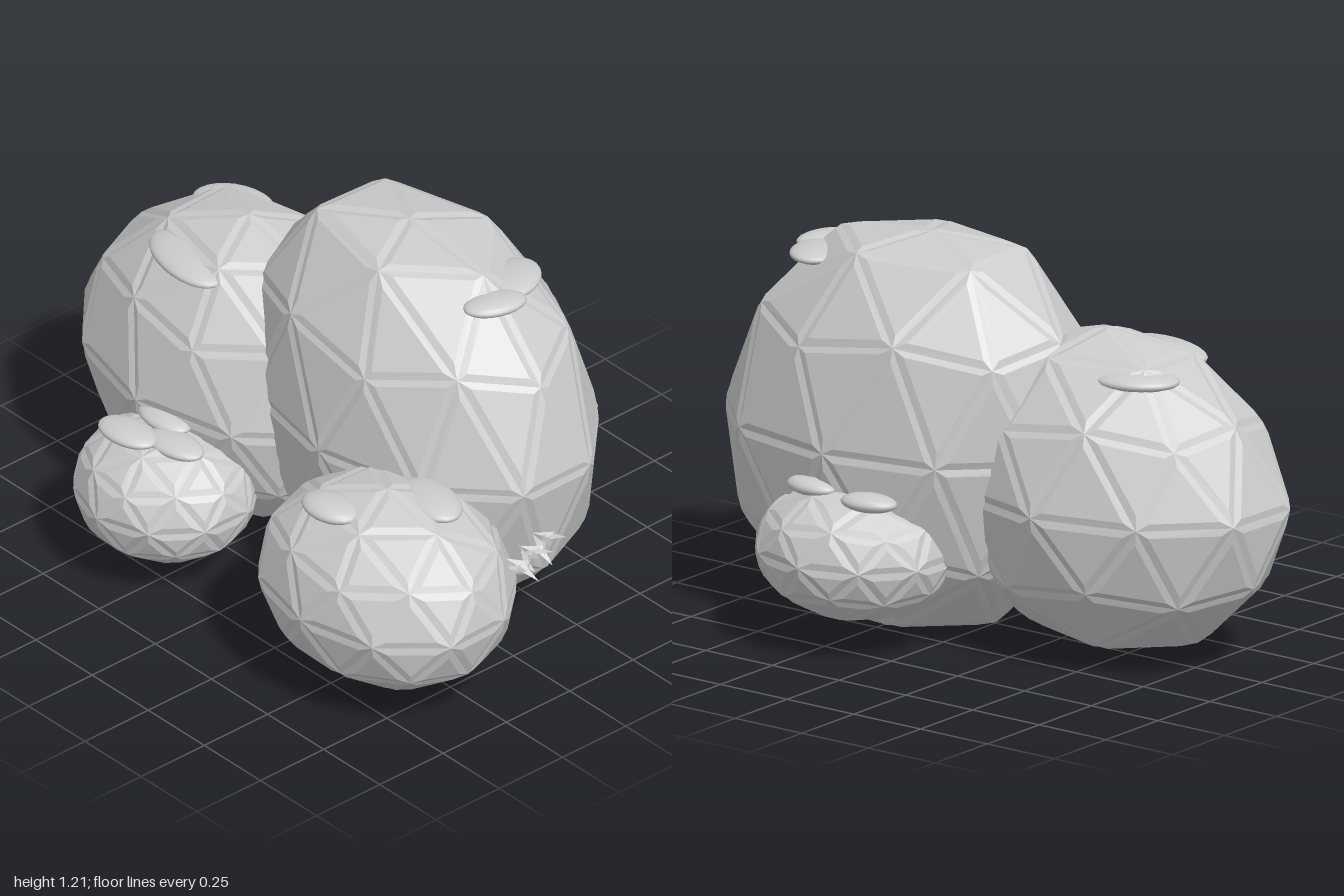
import * as THREE from 'three';

const stone = new THREE.MeshStandardMaterial({ color: 0xcccccc, flatShading: true });
const soft = new THREE.MeshStandardMaterial({ color: 0xcccccc });
const leaf = new THREE.MeshStandardMaterial({ color: 0xcccccc, side: THREE.DoubleSide });

// Faceted boulder of flat plates joined by bevelled bands, fitted to the box min..max.
// cap flattens the top and bottom, taper narrows the top, lean shifts the top along x.
function boulderGeometry({ min, max, seed, cap, taper, lean, band }) {
  const lo = new THREE.Vector3(...min), hi = new THREE.Vector3(...max);
  const size = hi.clone().sub(lo), radii = size.clone().multiplyScalar(0.5);
  const ball = new THREE.IcosahedronGeometry(1, 1);
  ball.rotateZ(-Math.atan(2 / (1 + Math.sqrt(5)))); // one corner points straight up
  const pos = ball.attributes.position;
  const corner = (i) => {
    const p = new THREE.Vector3().fromBufferAttribute(pos, i);
    const bump = 1 + 0.012 * Math.sin(4 * p.x + 3 * p.z + seed);
    p.y = THREE.MathUtils.clamp(p.y, -cap, cap) / cap;
    const rise = Math.max(0, p.y);
    p.x *= 1 - taper * rise;
    p.z *= 1 - taper * rise;
    p.multiplyScalar(bump).multiply(radii);
    p.x += lean * rise;
    return p;
  };
  const verts = [];
  const tri = (...corners) => corners.forEach((p) => verts.push(p.x, p.y, p.z));
  for (let i = 0; i < pos.count; i += 3) {
    const outer = [corner(i), corner(i + 1), corner(i + 2)];
    const [a, b, c] = outer;
    const la = b.distanceTo(c), lb = c.distanceTo(a), lc = a.distanceTo(b), sum = la + lb + lc;
    const centre = new THREE.Vector3().addScaledVector(a, la / sum).addScaledVector(b, lb / sum).addScaledVector(c, lc / sum);
    const inradius = (2 * new THREE.Triangle(a, b, c).getArea()) / sum;
    const plate = outer.map((p) => p.clone().lerp(centre, Math.min(0.5, band / inradius)));
    const sunk = outer.map((p) => p.clone().setLength(p.length() - band * 0.38));
    tri(...plate);
    for (let k = 0; k < 3; k++) {
      const n = (k + 1) % 3;
      tri(sunk[k], sunk[n], plate[n]);
      tri(sunk[k], plate[n], plate[k]);
    }
  }
  const geo = new THREE.BufferGeometry();
  geo.setAttribute('position', new THREE.Float32BufferAttribute(verts, 3));
  geo.computeBoundingBox();
  const box = geo.boundingBox.clone(), span = box.getSize(new THREE.Vector3());
  geo.translate(-box.min.x, -box.min.y, -box.min.z);
  geo.scale(size.x / span.x, size.y / span.y, size.z / span.z);
  geo.translate(lo.x, lo.y, lo.z);
  geo.computeVertexNormals();
  return geo;
}

// Small tuft of pointed leaves along a short stem
function tuftGeometry() {
  const start = new THREE.Vector3(0.83, 0.435, -0.08), end = new THREE.Vector3(0.9, 0.435, 0.12);
  const verts = [];
  const count = 20;
  for (let i = 0; i < count; i++) {
    const p = start.clone().lerp(end, i / (count - 1));
    const side = i % 2 ? 1 : -1, turn = i * 2.4;
    const droop = i % 5 === 2 ? -0.05 : 0.015 * Math.sin(turn);
    verts.push(p.x, p.y + 0.006, p.z - 0.012, p.x, p.y - 0.006, p.z + 0.012);
    verts.push(p.x + side * 0.045, p.y + droop, p.z + 0.035 * Math.cos(turn));
  }
  const geo = new THREE.BufferGeometry();
  geo.setAttribute('position', new THREE.Float32BufferAttribute(verts, 3));
  geo.computeVertexNormals();
  return geo;
}

// Boulders: box corners and shape, with moss pads as [centre, radii, turn]
const boulders = [
  { name: 'tallBoulder', min: [-0.37, 0, -0.54], max: [0.82, 1.21, 0.31], seed: 1, cap: 0.9, taper: 0, lean: -0.07, band: 0.022,
    moss: [[[0.49, 1.11, -0.23], [0.08, 0.025, 0.11], 0.5], [[0.555, 1.11, -0.1], [0.06, 0.025, 0.1], -0.3]] },
  { name: 'leftBoulder', min: [-1, 0.01, -0.41], max: [0.1, 0.99, 0.43], seed: 4, cap: 1, taper: 0.1, lean: 0.03, band: 0.022,
    moss: [[[-0.48, 0.885, 0.2], [0.17, 0.03, 0.085], -0.2], [[-0.61, 0.885, -0.1], [0.13, 0.03, 0.09], 0.4]] },
  { name: 'rightBoulder', min: [0.18, 0.04, 0.01], max: [1, 0.67, 0.7], seed: 2, cap: 1, taper: 0, lean: 0, band: 0.022,
    moss: [[[0.67, 0.63, 0.26], [0.13, 0.03, 0.08], -0.15], [[0.5, 0.625, 0.5], [0.1, 0.03, 0.07], 0.1]] },
  { name: 'smallFrontBoulder', min: [-0.59, 0.075, 0.16], max: [-0.03, 0.47, 0.71], seed: 5, cap: 0.95, taper: 0, lean: 0, band: 0.022,
    moss: [[[-0.37, 0.47, 0.53], [0.105, 0.025, 0.065], 0.1], [[-0.24, 0.46, 0.46], [0.105, 0.025, 0.06], 0.1],
      [[-0.35, 0.475, 0.4], [0.1, 0.025, 0.06], 0]] },
  { name: 'smallBackBoulder', min: [-0.12, 0.1, -0.71], max: [0.5, 0.5, -0.16], seed: 3, cap: 0.94, taper: 0, lean: 0, band: 0.022,
    moss: [[[0.06, 0.485, -0.53], [0.09, 0.028, 0.055], 0.2], [[0.28, 0.495, -0.52], [0.09, 0.028, 0.055], -0.1]] },
];

export function createModel() {
  const model = new THREE.Group();
  model.name = 'boulderCluster';
  for (const boulder of boulders) {
    const group = new THREE.Group();
    group.name = boulder.name;
    const rock = new THREE.Mesh(boulderGeometry(boulder), stone);
    rock.name = boulder.name + 'Stone';
    group.add(rock);
    // Flattened moss pads
    for (const [centre, radii, turn] of boulder.moss) {
      const pad = new THREE.Mesh(new THREE.SphereGeometry(1, 24, 14), soft);
      pad.name = 'mossPad';
      pad.position.set(...centre);
      pad.scale.set(...radii);
      pad.rotation.y = turn;
      group.add(pad);
    }
    model.add(group);
  }
  const tuft = new THREE.Mesh(tuftGeometry(), leaf);
  tuft.name = 'leafTuft';
  model.add(tuft);
  return model;
}
